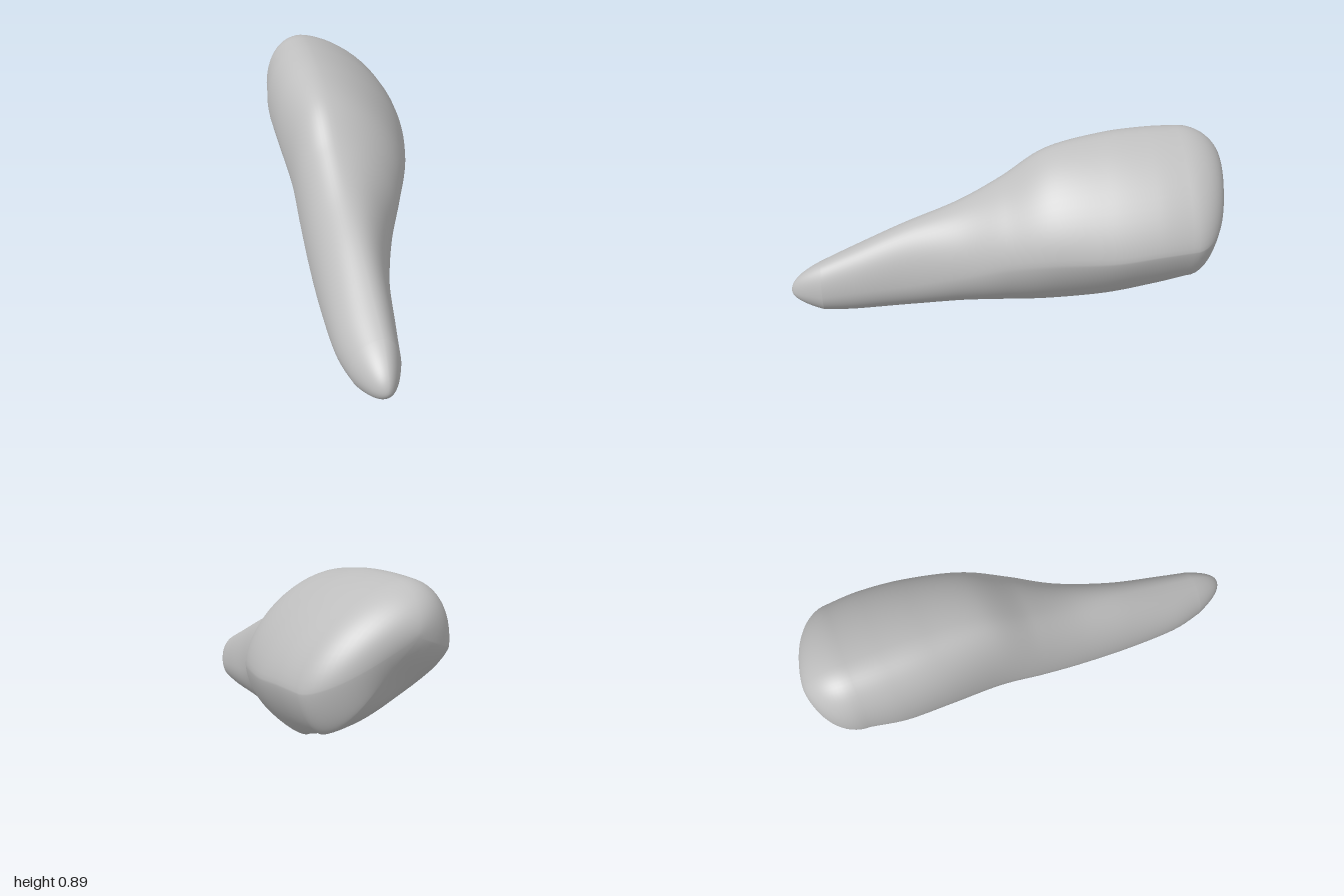
import * as THREE from 'three';
import { mergeVertices } from 'three/addons/utils/BufferGeometryUtils.js';

// Key cross-sections: z, left (x, y), top y, right (x, y), bottom (x, y)
const SECTIONS = [
  [0.85, -0.255, 0.12, 0.262, -0.048, 0.12, -0.155, 0.006],
  [0.70, -0.288, 0.14, 0.332, -0.028, 0.15, -0.165, 0.0],
  [0.45, -0.30, 0.19, 0.45, 0.01, 0.20, -0.155, 0.022],
  [0.20, -0.30, 0.25, 0.555, 0.085, 0.28, -0.12, 0.055],
  [0.0, -0.298, 0.33, 0.67, 0.175, 0.37, -0.07, 0.078],
  [-0.20, -0.30, 0.45, 0.805, 0.256, 0.43, 0.0, 0.11],
  [-0.45, -0.323, 0.55, 0.865, 0.313, 0.46, 0.10, 0.18],
  [-0.65, -0.329, 0.58, 0.885, 0.325, 0.49, 0.18, 0.265],
  [-0.80, -0.312, 0.62, 0.888, 0.315, 0.50, 0.22, 0.325],
];
const RIDGE_X = -0.125; // the top ridge runs straight along z
const STEPS = 10; // rings between two sections
const CAP_STEPS = 16; // rings in each rounded end
const QUARTER = 16; // points per quarter of a ring

// Smooth interpolation through four neighbouring values
function smooth(a, b, c, d, t) {
  const v0 = (c - a) / 2, v1 = (d - b) / 2;
  return (2 * b - 2 * c + v0 + v1) * t ** 3 + (3 * c - 3 * b - 2 * v0 - v1) * t * t + v0 * t + b;
}

function sectionAt(u) {
  const last = SECTIONS.length - 1;
  const i = Math.min(Math.floor(u), last - 1);
  const near = [i - 1, i, i + 1, i + 2].map((k) => SECTIONS[THREE.MathUtils.clamp(k, 0, last)]);
  return near[0].map((_, k) => smooth(...near.map((s) => s[k]), u - i));
}

// One ring, counterclockwise from the right, made of four curved quarters.
// Towards the back both right quarters flatten, and the lower left does near the end.
function ring([z, lx, ly, ty, rx, ry, bx, by]) {
  const back = 1 - THREE.MathUtils.smoothstep(z, -0.6, 0.5);
  const end = 1 - THREE.MathUtils.smoothstep(z, -0.82, -0.55);
  const right = [rx, ry], top = [RIDGE_X, ty], left = [lx, ly], bottom = [bx, by];
  const quarters = [
    [right, top, top[0], right[1], 1 + 0.27 * back],
    [top, left, top[0], left[1], 1 - 0.08 * back],
    [left, bottom, bottom[0], left[1], 1 + 0.1 * back + 0.3 * end],
    [bottom, right, bottom[0], right[1], 1 + 0.4 * back],
  ];
  return quarters.flatMap(([from, to, cx, cy, power]) =>
    Array.from({ length: QUARTER }, (_, k) => {
      const angle = (k / QUARTER) * Math.PI / 2;
      const c = Math.cos(angle) ** power, s = Math.sin(angle) ** power;
      return new THREE.Vector3(
        cx + (from[0] - cx) * c + (to[0] - cx) * s,
        cy + (from[1] - cy) * c + (to[1] - cy) * s,
        z
      );
    }));
}

// Rounded end: copies of a ring shrinking towards a pole, listed from ring to pole.
// A power of 1 gives an elliptical end, 2 a pointed parabolic one.
function cap(base, pole, power) {
  return Array.from({ length: CAP_STEPS }, (_, k) => {
    const angle = ((k + 1) / CAP_STEPS) * Math.PI / 2;
    const size = Math.cos(angle), advance = Math.sin(angle) ** power;
    return base.map((p) => new THREE.Vector3(
      pole.x + (p.x - pole.x) * size,
      pole.y + (p.y - pole.y) * size,
      p.z + (pole.z - p.z) * advance
    ));
  });
}

// Shallow hollow in the lower part of the back face
function dent(p) {
  const distance = Math.hypot(p.x + 0.06, p.y - 0.5) / 0.13;
  p.z += 0.25 * Math.max(0, -0.8 - p.z) * Math.exp(-distance * distance);
}

// Skin a list of rings running from front to back
function loft(rings) {
  const index = [];
  const n = QUARTER * 4;
  for (let i = 0; i < rings.length - 1; i++) {
    for (let j = 0; j < n; j++) {
      const a = i * n + j, b = i * n + (j + 1) % n;
      const c = a + n, d = b + n;
      if (i > 0) index.push(a, c, b);
      if (i < rings.length - 2) index.push(b, c, d);
    }
  }
  const geometry = new THREE.BufferGeometry().setFromPoints(rings.flat());
  geometry.setIndex(index);
  const merged = mergeVertices(geometry, 1e-5);
  merged.computeVertexNormals();
  return merged;
}

export function createModel() {
  const group = new THREE.Group();
  group.name = 'taperedOrganicForm';
  const grey = new THREE.MeshStandardMaterial({ color: 0xbfbfbf });
  grey.name = 'light grey';

  // Narrow rounded tip widening into a slanted, bulging back
  const count = (SECTIONS.length - 1) * STEPS;
  const middle = Array.from({ length: count + 1 }, (_, i) => ring(sectionAt(i / STEPS)));
  const tip = cap(middle[0], new THREE.Vector3(-0.14, 0.115, 1), 2);
  const end = cap(middle[count], new THREE.Vector3(-0.08, 0.71, -1), 1);
  end.flat().forEach(dent);
  const body = new THREE.Mesh(loft([...tip.reverse(), ...middle, ...end]), grey);
  body.name = 'body';
  group.add(body);
  return group;
}
